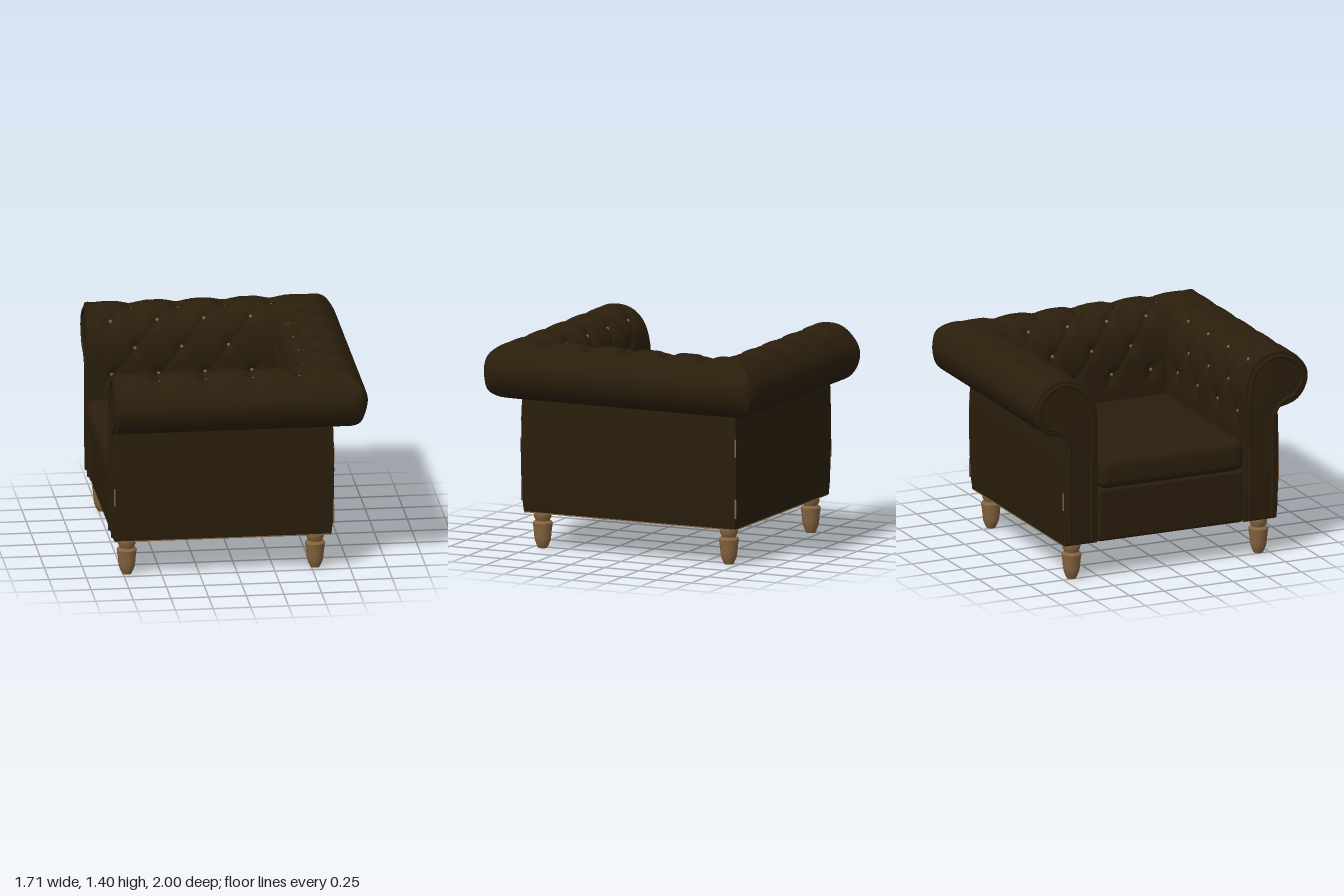
import * as THREE from 'three';
import { toCreasedNormals } from 'three/addons/utils/BufferGeometryUtils.js';
import { RoundedBoxGeometry } from 'three/addons/geometries/RoundedBoxGeometry.js';

const FRONT = -0.812, BACK = 0.383, SIDE = 0.53; // front end and inner faces of the U-shaped body
const V2 = (a) => a.map(([x, y]) => new THREE.Vector2(x, y));

// Rolled cross-section: d = distance outward from the inner face, y = height
const roll = new THREE.SplineCurve(V2([
  [0, 0.55], [0, 0.8], [0, 1.0], [0.005, 1.16], [0.05, 1.3], [0.14, 1.382], [0.25, 1.403], [0.35, 1.38],
  [0.437, 1.3], [0.47, 1.21], [0.442, 1.11], [0.375, 1.04], [0.275, 1.01],
])).getSpacedPoints(72);
const panel = V2([[0.25, 1.01], [0.255, 0.85], [0.257, 0.7], [0.254, 0.5], [0.248, 0.33], [0.24, 0.25]]);
const hollow = V2([[0.1, 0.25], [0.1, 0.55]]);
const profile = [...roll, ...panel, ...hollow];

// Arc length along the roll, measured from its crown down the inner face
const crown = roll.reduce((best, p, i) => (p.y > roll[best].y ? i : best), 0);
const step = roll[0].distanceTo(roll[1]);
const ROW = 0.19;
const near = (q) => q - Math.round(q);

// Depth of the diamond tufting at a place on the roll
function dent(s, j, run) {
  if (j >= roll.length) return 0;
  const b = ((crown - j) * step) / ROW;
  const p = (s - run.first) / run.spacing;
  const edge = THREE.MathUtils.smoothstep(b, -0.7, -0.2) * (1 - THREE.MathUtils.smoothstep(b, 3.1, 3.5));
  const m = near(p + b / 2), n = near(p - b / 2);
  const crease = Math.max(Math.exp(-((m / 0.07) ** 2)), Math.exp(-((n / 0.07) ** 2)));
  const button = Math.exp(-(m * m + n * n) / 0.032);
  const channel = Math.exp(-((near(p) / 0.17) ** 2) - ((b / 0.75) ** 2)); // dip across the crown
  const end = THREE.MathUtils.smoothstep(run.limit(profile[j].x, s), 0, 0.12);
  return end * (edge * (0.007 * crease + 0.024 * button) + 0.026 * channel);
}

// The three runs of the body: arm, back, arm
const arm = (sign) => ({
  first: -0.52, spacing: 0.31,
  limit: (d, s) => Math.min(BACK + d - s, (s - FRONT) * 1.5),
  range: (d) => (sign > 0 ? [FRONT, BACK + d] : [BACK + d, FRONT]),
  at: (s, d) => [s, sign * (SIDE + d)],
});
const back = {
  first: 0, spacing: 0.285,
  limit: (d, s) => SIDE + d - Math.abs(s),
  range: (d) => [SIDE + d, -SIDE - d],
  at: (s, d) => [BACK + d, s],
};
const runs = [arm(1), back, arm(-1)];

function surfacePoint(run, s, j, lift = 0) {
  const p = profile[j];
  const a = profile[Math.max(j - 1, 0)], c = profile[Math.min(j + 1, profile.length - 1)];
  const t = c.clone().sub(a).normalize();
  const k = dent(s, j, run) - lift;
  let [x, z] = run.at(s, p.x + t.y * k);
  // round the outer rear corners
  const over = Math.max(x - BACK + Math.abs(z) - SIDE - 0.79, 0);
  const pull = 1.5 * over * over;
  x -= pull;
  z -= Math.sign(z) * pull;
  return [x, p.y - t.x * k, z];
}

function bodyGeometry() {
  const pos = [], index = [], n = profile.length, N = 72;
  for (const run of runs) {
    for (let i = 0; i <= N; i++) {
      for (let j = 0; j < n; j++) {
        const [a, b] = run.range(profile[j].x);
        pos.push(...surfacePoint(run, a + ((b - a) * i) / N, j));
      }
    }
  }
  const rows = pos.length / 3 / n;
  for (let i = 0; i < rows - 1; i++) {
    if (i % (N + 1) === N) continue;
    for (let j = 0; j < n; j++) {
      const k = (j + 1) % n, a = i * n, b = a + n;
      index.push(a + j, a + k, b + j, b + j, a + k, b + k);
    }
  }
  const g = new THREE.BufferGeometry();
  g.setAttribute('position', new THREE.Float32BufferAttribute(pos, 3));
  g.setIndex(index);
  return toCreasedNormals(g, 0.8);
}

export function createModel() {
  const chair = new THREE.Group();
  chair.name = 'armchair';
  const leather = new THREE.MeshStandardMaterial({ color: 0x2a1e0c });
  leather.name = 'dark leather';
  const wood = new THREE.MeshStandardMaterial({ color: 0x85643f });
  wood.name = 'turned wood';

  const add = (name, geometry, material, x = 0, y = 0, z = 0) => {
    const mesh = new THREE.Mesh(geometry, material);
    mesh.name = name;
    mesh.position.set(x, y, z);
    chair.add(mesh);
  };
  const box = (name, x0, x1, y0, y1, z0, z1, r, material = leather) => add(
    name, r ? new RoundedBoxGeometry(x1 - x0, y1 - y0, z1 - z0, 4, r) : new THREE.BoxGeometry(x1 - x0, y1 - y0, z1 - z0),
    material, (x0 + x1) / 2, (y0 + y1) / 2, (z0 + z1) / 2);

  // Tufted arms and back in one mitred sweep
  add('tuftedArmsAndBack', bodyGeometry(), leather);

  // Buttons sunk in the tufts
  const buttonShape = new THREE.SphereGeometry(0.012, 10, 6);
  for (const run of runs) {
    for (let row = 0; row < 4; row++) {
      const j = Math.round(crown - (row * ROW) / step);
      for (let k = -3; k <= 4; k++) {
        const s = run.first + (k + (row % 2) / 2) * run.spacing;
        if (run.limit(profile[j].x, s) < 0.09) continue;
        add('button', buttonShape, wood, ...surfacePoint(run, s, j, 0.001));
      }
    }
  }

  // Scrolled arm fronts with a piped edge
  for (const side of [1, -1]) {
    const outline = [...roll, ...panel, new THREE.Vector2(0, 0.25)]
      .map((p) => new THREE.Vector2(side * (SIDE + p.x), p.y));
    const facing = new THREE.ExtrudeGeometry(new THREE.Shape(outline), {
      depth: 0.008, bevelThickness: 0.014, bevelSize: 0.014, bevelOffset: -0.014, bevelSegments: 3,
    });
    facing.rotateY(-Math.PI / 2);
    add('armFront', toCreasedNormals(facing, 0.7), leather, FRONT + 0.012);

    const piping = new THREE.CatmullRomCurve3([
      [0.045, 0.27], [0.045, 0.7], [0.045, 1.13], [0.095, 1.29], [0.25, 1.365], [0.385, 1.3], [0.43, 1.21],
      [0.37, 1.09], [0.28, 1.05], [0.22, 0.97], [0.215, 0.7], [0.205, 0.27],
    ].map(([d, y]) => new THREE.Vector3(FRONT - 0.009, y, side * (SIDE + d))));
    add('armPiping', new THREE.TubeGeometry(piping, 80, 0.015, 8), leather);
  }

  // Seat cushion with a crowned top and bulging front
  const cushion = new RoundedBoxGeometry(1.205, 0.22, 1.05, 10, 0.06);
  const p = cushion.attributes.position;
  for (let i = 0; i < p.count; i++) {
    const x = p.getX(i), y = p.getY(i);
    p.setX(i, x * (1 + 0.016 * (1 - (y / 0.11) ** 4)));
  }
  add('seatCushion', toCreasedNormals(cushion, 0.9), leather, -0.247, 0.72);

  // Front rail, seat platform and open underframe
  box('frontRail', -0.822, -0.67, 0.25, 0.615, -SIDE, SIDE, 0.025);
  box('seatPlatform', -0.72, 0.37, 0.55, 0.61, -SIDE, SIDE);
  for (const z of [-0.2, 0.2]) box('underSlat', -0.68, 0.36, 0.49, 0.55, z - 0.05, z + 0.05);
  for (const z of [-1, 1]) {
    box('cornerBlock', -0.8, -0.65, 0.251, 0.4, z * 0.69 - 0.08, z * 0.69 + 0.08);
    // Wooden frame showing along the lower edges and at the corners
    box('sideTrim', -0.65, 0.483, 0.247, 0.26, z * 0.625 - 0.006, z * 0.625 + 0.006, 0, wood);
    box('sideEdgeTrim', -0.8, 0.623, 0.246, 0.253, z * 0.768 - 0.003, z * 0.768 + 0.003, 0, wood);
    for (const [y0, y1] of [[0.33, 0.46], [0.74, 0.86]]) {
      box('rearCornerTrim', 0.632, 0.64, y0, y1, z * 0.781 - 0.004, z * 0.781 + 0.004, 0, wood);
    }
    box('frontCornerTrim', -0.82, -0.812, 0.5, 0.62, z * 0.781 - 0.004, z * 0.781 + 0.004, 0, wood);
  }
  box('backTrim', 0.472, 0.484, 0.247, 0.26, -0.625, 0.625, 0, wood);
  box('backEdgeTrim', 0.618, 0.624, 0.246, 0.253, -0.77, 0.77, 0, wood);
  box('frontTrim', -0.671, -0.659, 0.247, 0.26, -0.53, 0.53, 0, wood);

  // Turned legs
  const legShape = new THREE.LatheGeometry(V2([
    [0, 0], [0.03, 0], [0.038, 0.015], [0.052, 0.05], [0.056, 0.075], [0.06, 0.12], [0.067, 0.168], [0.06, 0.178],
    [0.047, 0.184], [0.05, 0.192], [0.058, 0.21], [0.06, 0.235], [0.057, 0.255], [0.05, 0.27],
  ]), 24);
  const leg = toCreasedNormals(legShape, 0.7);
  for (const x of [-0.725, 0.525]) for (const z of [-0.68, 0.68]) add('leg', leg, wood, x, 0, z);

  return chair;
}
